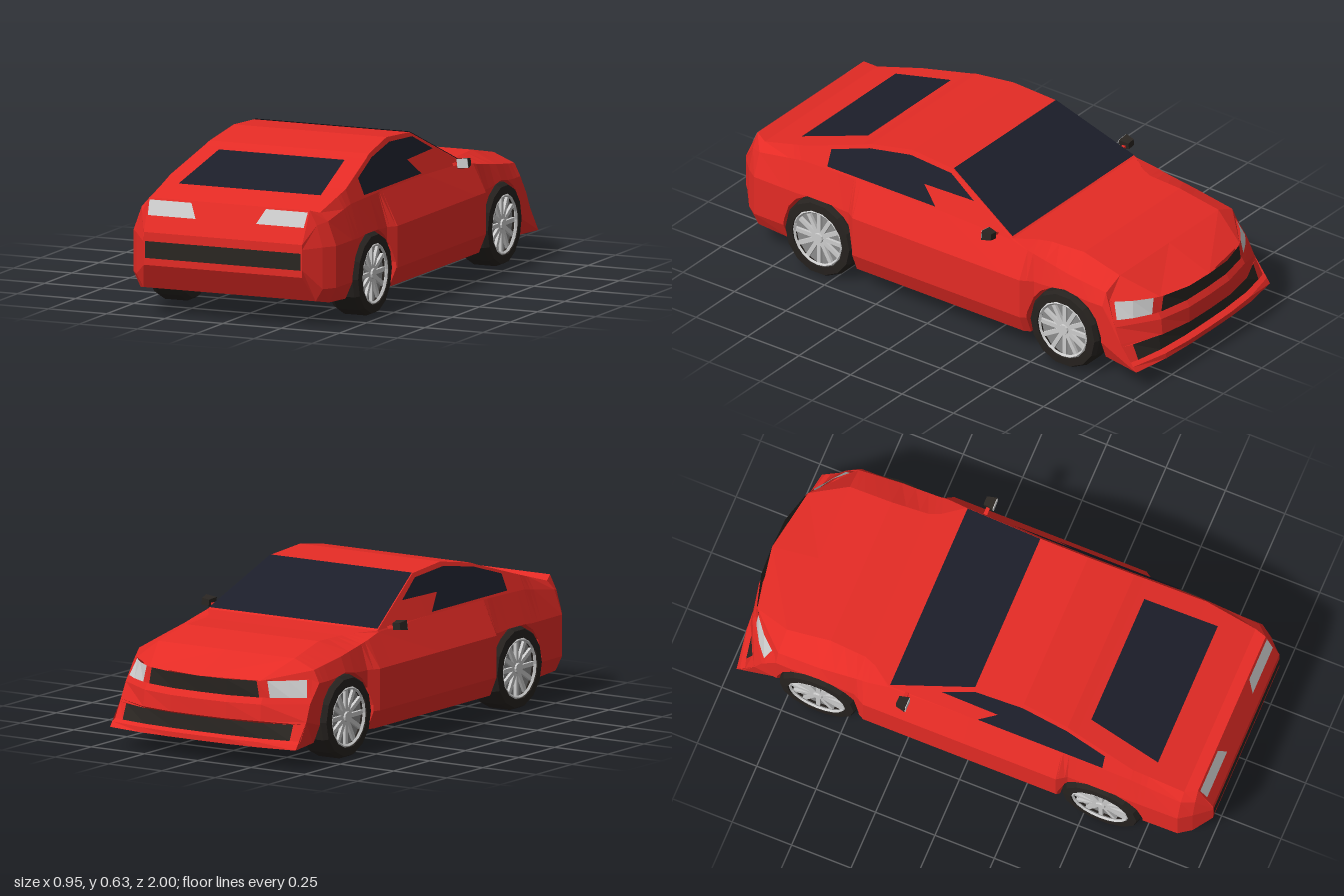
import * as THREE from 'three';

const mat = (color) => new THREE.MeshStandardMaterial({ color, flatShading: true, side: THREE.DoubleSide });
const RED = mat(0xe52b25), GLASS = mat(0x1c1e2a), BLACK = mat(0x2a2622), TYRE = mat(0x26221f), GREY = mat(0xcccccc), RIM = mat(0x8c8c8c);

function add(parent, name, geometry, material) {
  const mesh = new THREE.Mesh(geometry, material);
  mesh.name = name;
  parent.add(mesh);
  return mesh;
}

// Skin over a list of equally long point rows
function skin(rows, closed, cap) {
  const n = rows[0].length, idx = [];
  for (let i = 0; i < rows.length - 1; i++)
    for (let j = 0; j < (closed ? n : n - 1); j++) {
      const k = (j + 1) % n, a = i * n + j, b = i * n + k;
      idx.push(a, b, b + n, a, b + n, a + n);
    }
  const last = (rows.length - 1) * n;
  if (cap) for (let j = 1; j < n - 1; j++) idx.push(last, last + j, last + j + 1);
  const g = new THREE.BufferGeometry();
  g.setAttribute('position', new THREE.Float32BufferAttribute(rows.flat(2), 3));
  g.setIndex(idx);
  const flat = g.toNonIndexed();
  flat.computeVertexNormals();
  return flat;
}

// Flat outline (u, v) laid onto the body by a mapping rule
function panel(parent, name, outline, map, material) {
  const g = new THREE.ShapeGeometry(new THREE.Shape(outline.map(([u, v]) => new THREE.Vector2(u, v))));
  const p = g.attributes.position;
  for (let i = 0; i < p.count; i++) p.setXYZ(i, ...map(p.getX(i), p.getY(i)));
  g.computeVertexNormals();
  return add(parent, name, g, material);
}

const cabinX = (y) => 0.40 - (y - 0.46) * 0.41;
const AXLES = [-0.62, 0.57], ARCH = 0.175;

// z, side half width, floor y, belt x, belt y, top edge x, top y
const KEYS = [
  [-0.80, 0.435, 0.085, 0.41, 0.375, 0.32, 0.412],
  [-0.62, 0.438, 0.085, 0.415, 0.40, 0.31, 0.45],
  [-0.47, 0.438, 0.085, 0.41, 0.425, 0.32, 0.45],
  [-0.42, 0.465, 0.085, 0.41, 0.435, 0.34, 0.452],
  [-0.34, 0.465, 0.085, 0.402, 0.45, 0.398, 0.456],
  [0, 0.465, 0.085, 0.40, 0.46, cabinX(0.622), 0.622],
  [0.20, 0.465, 0.085, 0.40, 0.46, cabinX(0.635), 0.635],
  [0.39, 0.465, 0.085, 0.40, 0.46, cabinX(0.602), 0.602],
  [0.43, 0.438, 0.085, 0.40, 0.46, cabinX(0.588), 0.588],
  [0.68, 0.438, 0.088, 0.40, 0.455, 0.377, 0.511],
  [0.89, 0.435, 0.10, 0.40, 0.42, 0.365, 0.452],
  [0.94, 0.40, 0.11, 0.375, 0.41, 0.345, 0.467],
];

function stationAt(z) {
  const i = Math.min(Math.max(KEYS.findIndex((k) => k[0] >= z), 1), KEYS.length - 1);
  const [a, b] = [KEYS[i - 1], KEYS[i]], t = (z - a[0]) / (b[0] - a[0]);
  return a.map((v, k) => v + (b[k] - v) * t);
}

const mirrorRing = (half) => [...half, ...half.slice(1, -1).reverse().map(([x, y, z]) => [-x, y, z])];

// Half cross-section, its lower edge raised over the wheels
function section(z) {
  const [, w, floor, bx, by, tx, ty] = stationAt(z);
  let a = floor;
  for (const c of AXLES) {
    const d = Math.abs(z - c);
    if (d < ARCH - 0.0005) a = 0.165 + Math.sqrt(ARCH * ARCH - d * d);
  }
  return mirrorRing([
    [0, floor, z], [0.31, floor, z], [0.31, a, z], [a > 0.16 ? w : w - 0.03, a, z],
    [w, Math.max(a, 0.16), z], [w, Math.max(a, 0.325), z], [bx, by, z], [tx, ty, z], [0, ty, z],
  ]);
}

// Front face rows: y, half width, z at centre, z at corner
const FRONT = [
  [0.34, 0.41, -0.995, -0.815], [0.275, 0.43, -0.985, -0.845], [0.25, 0.432, -1, -0.86], [0.185, 0.435, -1, -0.89],
  [0.175, 0.435, -0.975, -0.895], [0.115, 0.435, -0.975, -0.93], [0.105, 0.435, -1, -0.95], [0.085, 0.435, -1, -0.965],
];
const frontPoint = ([y, w, zc, ze], t) => [t * w, y, zc + (ze - zc) * Math.abs(t) ** 3];

function buildBody(car) {
  const zs = new Set(KEYS.map((k) => k[0]));
  for (const c of AXLES)
    for (const d of [0.175, 0.174, 0.15, 0.115, 0.06]) zs.add(c - d).add(c + d);
  const nose = mirrorRing([
    [0, 0.085, -1], frontPoint(FRONT[7], 0.63), frontPoint(FRONT[7], 0.63), frontPoint(FRONT[7], 1),
    frontPoint(FRONT[3], 1), frontPoint(FRONT[2], 1), frontPoint(FRONT[0], 1), frontPoint(FRONT[0], 0.63), frontPoint(FRONT[0], 0),
  ]);
  const tail = mirrorRing([
    [0, 0.21, 1], [0.31, 0.21, 1], [0.31, 0.21, 1], [0.34, 0.21, 1], [0.34, 0.24, 1],
    [0.34, 0.30, 1], [0.34, 0.32, 1], [0.34, 0.34, 1], [0, 0.34, 1],
  ]);
  const rings = [...zs].sort((a, b) => a - b).map(section);
  add(car, 'body', skin([nose, ...rings, tail], true, true), RED);

  // Front bumper strips, grille, headlights and intake
  const strip = (name, i, ts, m) => add(car, name, skin([FRONT[i + 1], FRONT[i]].map((r) => ts.map((t) => frontPoint(r, t))), false), m);
  const all = [-1, -0.63, -0.3, 0, 0.3, 0.63, 1];
  for (const i of [1, 2, 3, 5, 6]) strip('frontBumper', i, all, RED);
  strip('grille', 0, [-0.6, -0.3, 0, 0.3, 0.6], BLACK);
  strip('intake', 4, [-0.9, -0.63, -0.3, 0, 0.3, 0.63, 0.9], BLACK);
  for (const s of [-1, 1]) {
    const side = (...ts) => (s > 0 ? ts : ts.map((t) => -t).reverse());
    strip('grilleFrame', 0, side(0.6, 0.69), RED);
    strip('headlight', 0, side(0.69, 0.85, 0.97), GREY);
    strip('headlightFrame', 0, side(0.97, 1), RED);
    strip('intakeFrame', 4, side(0.9, 1), RED);
  }
}

function buildGlassAndLights(car) {
  const topAt = (x, z) => [x, stationAt(z)[6] + 0.004, z];
  panel(car, 'windshield', [[-0.395, -0.335], [0.395, -0.335], [0.332, -0.003], [-0.332, -0.003]], topAt, GLASS);
  panel(car, 'rearWindow', [[-0.27, 0.46], [0.27, 0.46], [0.305, 0.755], [-0.305, 0.755]],
    (x, z) => [x, 0.583 - (z - 0.46) * 0.302, z], GLASS);
  const windowOutline = [[0.56, 0.47], [0.56, 0.535], [0.39, 0.588], [0.2, 0.618], [0, 0.607], [-0.13, 0.54], [0.11, 0.535], [0.035, 0.47]];
  const lampOutline = [[0.34, 0.46], [0.16, 0.46], [0.13, 0.403], [0.335, 0.403]];
  for (const s of [-1, 1]) {
    panel(car, 'sideWindow', windowOutline, (z, y) => [s * (cabinX(y) + 0.005), y, z], GLASS);
    panel(car, 'tailLight', lampOutline, (x, y) => [s * x, y, 1.004 - 0.06 * (y - 0.34) / 0.127], GREY);
  }
  panel(car, 'rearStrip', [[-0.333, 0.238], [0.333, 0.238], [0.333, 0.305], [-0.333, 0.305]], (x, y) => [x, y, 1.002], BLACK);
}

// Wheel with its axis along local y, outer face up
function buildWheel() {
  const wheel = new THREE.Group();
  wheel.name = 'wheel';
  const profile = [[0.125, 0], [0.152, 0], [0.165, 0.02], [0.165, 0.115], [0.155, 0.135], [0.122, 0.138], [0.12, 0.11], [0.125, 0]];
  add(wheel, 'tyre', new THREE.LatheGeometry(profile.map(([r, y]) => new THREE.Vector2(r, y)), 14), TYRE);
  add(wheel, 'rimDisc', new THREE.CylinderGeometry(0.122, 0.122, 0.008, 20), RIM).position.y = 0.108;
  add(wheel, 'hub', new THREE.CylinderGeometry(0.02, 0.025, 0.02, 10), GREY).position.y = 0.122;
  const ring = add(wheel, 'rimRing', new THREE.TorusGeometry(0.115, 0.007, 4, 20), GREY);
  ring.rotation.x = Math.PI / 2;
  ring.position.y = 0.13;
  for (let i = 0; i < 12; i++) {
    const a = (i / 12) * Math.PI * 2;
    const spoke = add(wheel, 'spoke', new THREE.BoxGeometry(0.1, 0.012, 0.017), GREY);
    spoke.position.set(Math.cos(a) * 0.066, 0.119, -Math.sin(a) * 0.066);
    spoke.rotation.y = a;
  }
  return wheel;
}

function buildMirror(car, s) {
  const mirror = new THREE.Group();
  mirror.name = 'wingMirror';
  add(mirror, 'mirrorArm', new THREE.BoxGeometry(0.05, 0.01, 0.015), RED).position.set(-0.035, -0.005, 0);
  const shell = add(mirror, 'mirrorShell', new THREE.CylinderGeometry(0.035, 0.024, 0.04, 4, 1).rotateY(Math.PI / 4).rotateX(Math.PI / 2), BLACK);
  shell.scale.y = 0.8;
  add(mirror, 'mirrorGlass', new THREE.BoxGeometry(0.046, 0.036, 0.004), GREY).position.z = 0.021;
  mirror.position.set(s * 0.448, 0.468, -0.262);
  mirror.rotation.z = s * 0.12;
  mirror.scale.x = s;
  car.add(mirror);
}

export function createModel() {
  const car = new THREE.Group();
  car.name = 'car';
  buildBody(car);
  buildGlassAndLights(car);
  for (const s of [-1, 1]) {
    buildMirror(car, s);
    for (const z of AXLES) {
      const wheel = buildWheel();
      wheel.position.set(s * 0.317, 0.165, z);
      wheel.rotation.z = -s * Math.PI / 2;
      car.add(wheel);
    }
  }
  return car;
}
